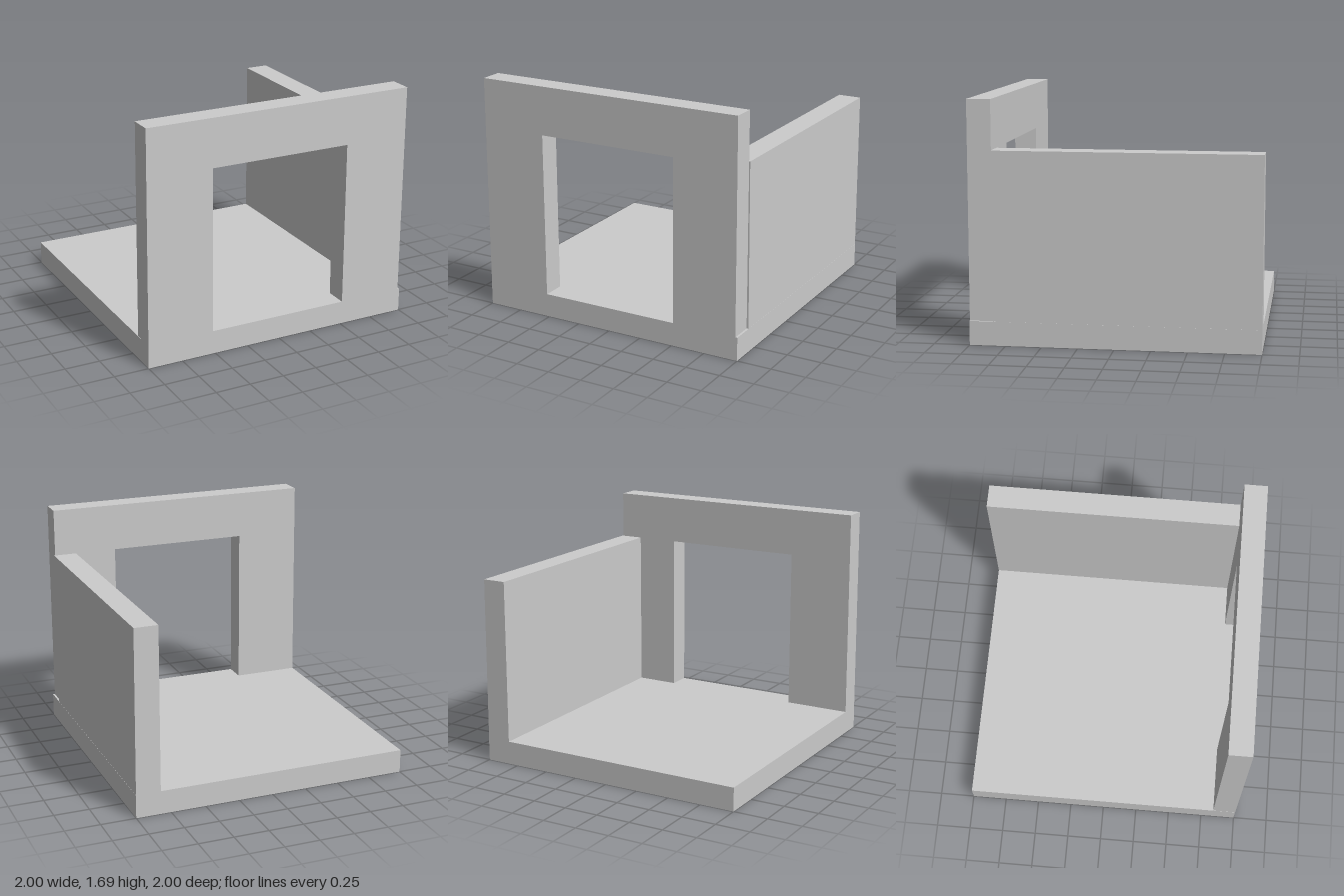
import * as THREE from 'three';

const material = new THREE.MeshStandardMaterial({ color: 0xcccccc, flatShading: true });

// Extrude an x/y outline from z0 to z1, with optional holes
function slab(name, outline, z0, z1, holes = []) {
  const toPoints = (list) => list.map(([x, y]) => new THREE.Vector2(x, y));
  const shape = new THREE.Shape(toPoints(outline));
  for (const hole of holes) shape.holes.push(new THREE.Path(toPoints(hole)));
  const geometry = new THREE.ExtrudeGeometry(shape, { depth: z1 - z0, bevelEnabled: false });
  geometry.translate(0, 0, z0);
  const mesh = new THREE.Mesh(geometry, material);
  mesh.name = name;
  return mesh;
}

export function createModel() {
  const group = new THREE.Group();
  group.name = 'roomCorner';
  const floorTop = 0.168, sideTop = 1.343, wallTop = 1.688, wallBack = 0.835;

  // Square floor plate
  group.add(slab('floor', [[-1, 0], [1, 0], [1, floorTop], [-1, floorTop]], -1, 1));

  // Side wall, leaning in very slightly on the outside
  group.add(slab('sideWall',
    [[0.823, floorTop], [0.999, floorTop], [0.993, sideTop], [0.823, sideTop]], -1, wallBack));

  // Front wall standing on the floor, its doorway open down to the floor
  group.add(slab('frontWall', [
    [-0.999, floorTop], [-0.517, floorTop], [-0.517, sideTop], [0.513, sideTop],
    [0.513, floorTop], [0.985, floorTop], [0.985, wallTop], [-0.993, wallTop],
  ], wallBack, 1));

  return group;
}
